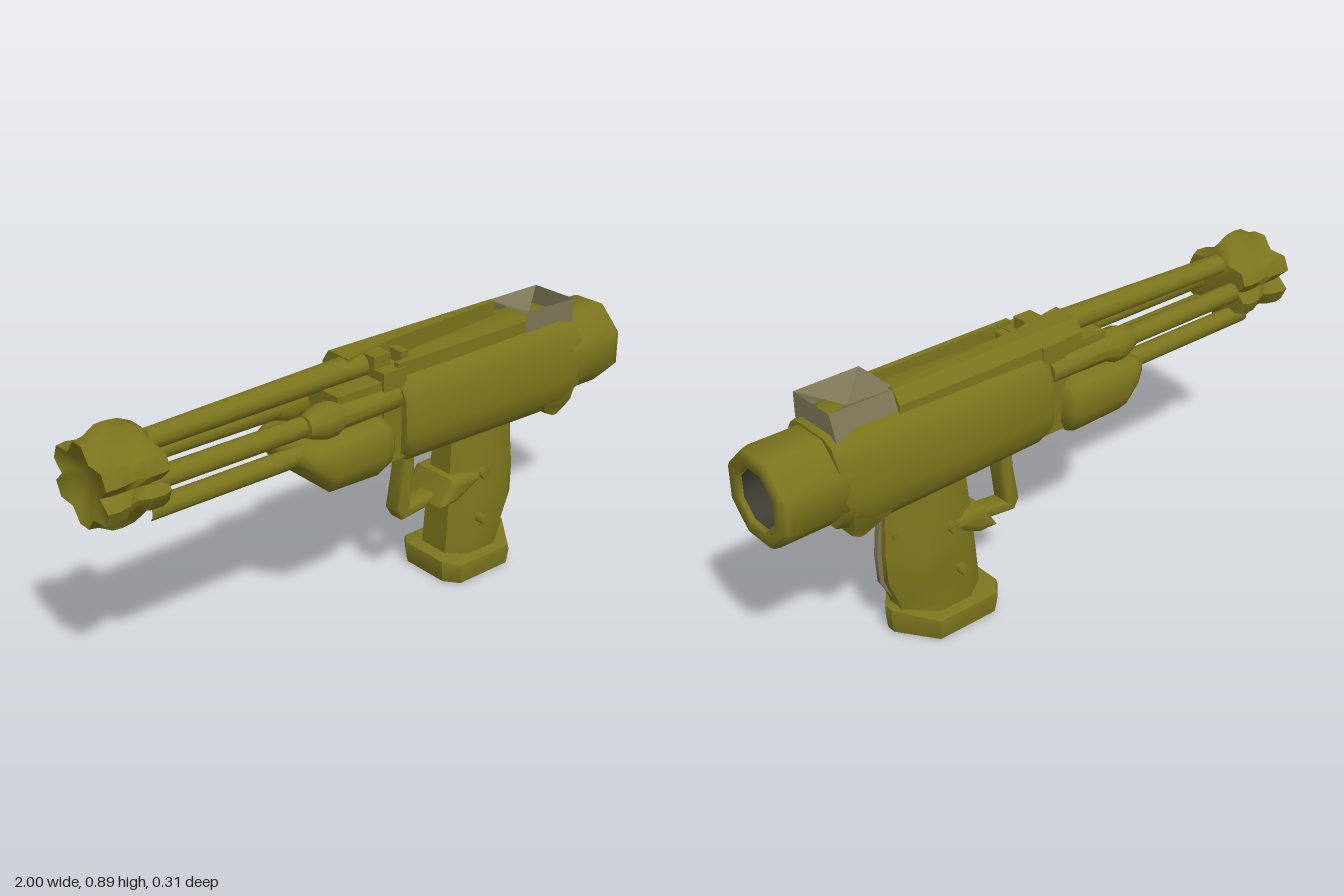
import * as THREE from 'three';
import { toCreasedNormals } from 'three/addons/utils/BufferGeometryUtils.js';

export function createModel() {
  const group = new THREE.Group();
  const paint = (name, color) => {
    const m = new THREE.MeshStandardMaterial({ color });
    m.name = name;
    return m;
  };
  const olive = paint('olive', 0x7b741d);
  const grey = paint('warm grey', 0x7d7656);
  grey.side = THREE.DoubleSide;
  const dark = paint('dark bore', 0x3f3d33);

  const add = (name, geo, mat = olive, crease = 0.7) => {
    const mesh = new THREE.Mesh(toCreasedNormals(geo, crease), mat);
    mesh.name = name;
    group.add(mesh);
    return mesh;
  };

  // Closed skin through equal-length loops of [x, y, z] points
  const loft = (loops) => {
    const pos = [];
    const tri = (a, b, c) => pos.push(...a, ...b, ...c);
    const n = loops[0].length;
    for (let s = 0; s < loops.length - 1; s++) {
      for (let i = 0; i < n; i++) {
        const j = (i + 1) % n, p = loops[s], q = loops[s + 1];
        tri(p[i], p[j], q[j]);
        tri(p[i], q[j], q[i]);
      }
    }
    const centre = (l) => [0, 1, 2].map((k) => l.reduce((t, p) => t + p[k], 0) / n);
    const first = loops[0], last = loops[loops.length - 1];
    for (let i = 0; i < n; i++) {
      const j = (i + 1) % n;
      tri(first[j], first[i], centre(first));
      tri(last[i], last[j], centre(last));
    }
    // Turn the skin outward if its signed volume is negative
    let volume = 0;
    const a = new THREE.Vector3(), b = new THREE.Vector3(), c = new THREE.Vector3();
    for (let i = 0; i < pos.length; i += 9) {
      volume += a.fromArray(pos, i).dot(b.fromArray(pos, i + 3).cross(c.fromArray(pos, i + 6)));
    }
    if (volume < 0) {
      for (let i = 0; i < pos.length; i += 9) {
        for (let k = 0; k < 3; k++) [pos[i + k], pos[i + 3 + k]] = [pos[i + 3 + k], pos[i + k]];
      }
    }
    const geo = new THREE.BufferGeometry();
    geo.setAttribute('position', new THREE.Float32BufferAttribute(pos, 3));
    return geo;
  };

  const box = (x0, x1, y0, y1, z0, z1) =>
    new THREE.BoxGeometry(x1 - x0, y1 - y0, z1 - z0)
      .translate((x0 + x1) / 2, (y0 + y1) / 2, (z0 + z1) / 2);

  // Turned part along x; profile is [radius, x]
  const turned = (profile, sides, y, z = 0) =>
    new THREE.LatheGeometry(profile.map((p) => new THREE.Vector2(...p)), sides, Math.PI / sides)
      .rotateZ(-Math.PI / 2).translate(0, y, z);

  // Side outline extruded across z with a bevel
  const slab = (points, halfWidth, bevel) =>
    new THREE.ExtrudeGeometry(new THREE.Shape(points.map((p) => new THREE.Vector2(...p))), {
      depth: 2 * (halfWidth - bevel), bevelSize: bevel,
      bevelThickness: bevel, bevelOffset: -bevel, bevelSegments: 3,
    }).translate(0, 0, bevel - halfWidth);

  // Main body, scaled about its axis at each station
  const half = [[0.82, 0.07], [0.80, 0.11], [0.74, 0.143], [0.62, 0.15], [0.56, 0.145], [0.505, 0.1]];
  const bodyLoop = ([x, sy, sz]) => {
    const right = half.map(([y, z]) => [x, 0.66 + (y - 0.66) * sy, z * sz]);
    return [...right, ...right.map(([px, y, z]) => [px, y, -z]).reverse()];
  };
  add('body', loft([
    [0.04, 0.85, 0.88], [0.07, 0.95, 0.96], [0.4, 0.98, 1.01], [0.72, 1.02, 1.01], [0.81, 0.88, 0.9],
  ].map(bodyLoop)), olive, 0.9);

  // Open octagonal rear tube
  add('rearTube', turned([
    [0.148, 0.7], [0.149, 0.97], [0.145, 0.99], [0.135, 1], [0.105, 1], [0.096, 0.997], [0.09, 0.985],
  ], 8, 0.656), olive, 0.85);
  add('rearBore', turned([[0.09, 0.985], [0.087, 0.83], [0, 0.83]], 8, 0.656), dark, 0.9);

  // Chin under the rear of the body, narrowing downwards
  add('chin', loft([
    [0.58, 0.64, 0.78, 0.14], [0.525, 0.65, 0.775, 0.128], [0.49, 0.685, 0.77, 0.105], [0.47, 0.725, 0.74, 0.1],
  ].map(([y, x0, x1, w]) => [[x0, y, -w], [x0, y, w], [x1, y, w], [x1, y, -w]])));

  // Front receiver
  add('receiver', box(-0.2, 0.08, 0.53, 0.8, -0.095, 0.095));
  add('collar', box(-0.03, 0.06, 0.53, 0.83, -0.105, 0.105));

  // Pod: stations of [x, bottom, top, half width], bulging above a narrower keel
  const podLoop = ([x, y0, y1, w]) => {
    const side = [[1, 0.72], [0.93, 0.88], [0.75, 1], [0.38, 1], [0.2, 0.93], [0, 0.72]]
      .map(([t, s]) => [x, y0 + (y1 - y0) * t, w * s]);
    return [...side, ...side.map(([px, y, z]) => [px, y, -z]).reverse()];
  };
  add('pod', loft([
    [-0.35, 0.625, 0.65, 0.09], [-0.335, 0.605, 0.668, 0.125], [-0.3, 0.565, 0.68, 0.148], [-0.25, 0.515, 0.688, 0.157],
    [-0.06, 0.51, 0.695, 0.157], [-0.03, 0.52, 0.685, 0.15], [-0.012, 0.55, 0.66, 0.135],
  ].map(podLoop)), olive, 0.9);

  // Barrel rods with their bulbs
  for (const side of [-1, 1]) {
    add('middleRod', turned([[0.032, -0.85], [0.032, -0.25]], 10, 0.735, side * 0.076));
    add('lowerRod', turned([[0.031, -0.85], [0.031, -0.2]], 10, 0.645, side * 0.07));
    add('rodBulb', turned([
      [0, -0.32], [0.035, -0.315], [0.046, -0.29], [0.055, -0.26], [0.055, -0.22],
      [0.042, -0.19], [0.038, 0.03], [0, 0.03],
    ], 10, 0.737, side * 0.085));
  }
  const rodLoop = ([x, y0, y1, w]) => Array.from({ length: 10 }, (_, i) => {
    const t = (i / 10 + 0.05) * Math.PI * 2;
    return [x, (y0 + y1) / 2 + Math.cos(t) * (y1 - y0) * 0.52, Math.sin(t) * w - 0.005];
  });
  add('topRod', loft([
    [-0.86, 0.78, 0.842, 0.036], [-0.1, 0.79, 0.866, 0.043], [0.04, 0.79, 0.868, 0.043],
  ].map(rodLoop)));

  // Muzzle with six lobes: stations of [x, upright lobes, side lobes, valleys]
  const lobes = [24, 90, 156, 204, 270, 336];
  const starLoop = ([x, upright, side, valley]) => lobes.flatMap((deg, k) => {
    const r = k % 3 === 1 ? upright : side;
    const gap = ((lobes[(k + 1) % 6] - deg + 360) % 360) / 2;
    return [[deg - 10, r], [deg + 10, r], [deg + gap, valley]].map(([d, f]) => {
      const t = (d * Math.PI) / 180;
      return [x, 0.742 + Math.sin(t) * f, Math.cos(t) * f - 0.005];
    });
  });
  add('muzzle', loft([
    [-0.97, 0.05, 0.05, 0.05], [-0.985, 0.09, 0.09, 0.08], [-1, 0.125, 0.138, 0.097], [-0.97, 0.13, 0.142, 0.105],
    [-0.93, 0.152, 0.135, 0.105], [-0.9, 0.154, 0.122, 0.105], [-0.86, 0.15, 0.136, 0.108],
    [-0.82, 0.132, 0.138, 0.108], [-0.795, 0.105, 0.128, 0.095],
  ].map(starLoop)), olive, 0.9);

  // Sighting rail, narrowing to the rear, with a sloped outer edge
  add('rail', loft([[-0.1, 0.02], [0.1, -0.015], [0.58, -0.05]].map(([x, z]) => [
    [x, 0.79, z], [x, 0.87, z], [x, 0.87, -0.07], [x, 0.83, -0.098], [x, 0.79, -0.1],
  ])), olive, 0.3);
  add('railPlate', box(-0.03, 0.035, 0.8, 0.868, -0.03, 0.06));
  add('railStud', box(0.09, 0.12, 0.8, 0.85, -0.01, 0.045));
  add('railLip', box(0.03, 0.58, 0.8, 0.845, 0.08, 0.1));

  // Open sight hood of folded plates
  const hood = new THREE.BufferGeometry();
  const corners = [
    [0.57, 0.79, 0.103], [0.79, 0.79, 0.103], [0.79, 0.87, 0.103], [0.57, 0.87, 0.103],
    [0.79, 0.79, -0.098], [0.79, 0.87, -0.068], [0.57, 0.79, -0.098], [0.57, 0.87, -0.068], [0.68, 0.825, 0.01],
  ];
  const faces = [0, 1, 2, 0, 2, 3, 1, 4, 5, 1, 5, 2, 4, 6, 7, 4, 7, 5, 7, 8, 5, 3, 8, 7, 2, 8, 3];
  hood.setAttribute('position', new THREE.Float32BufferAttribute(faces.flatMap((i) => corners[i]), 3));
  add('sightHood', hood, grey, 0.3);

  // Grip: stations of [y, front x, back x, half width]
  const gripLoop = ([y, f, b, w]) => [
    [f, y, -w * 0.55], [f, y, w * 0.55], [f + 0.07, y, w], [b - 0.1, y, w],
    [b, y, w * 0.3], [b, y, -w * 0.3], [b - 0.1, y, -w], [f + 0.07, y, -w],
  ];
  add('grip', loft([
    [0.06, 0.285, 0.57, 0.102], [0.1, 0.285, 0.565, 0.102], [0.2, 0.293, 0.606, 0.1],
    [0.3, 0.3, 0.61, 0.095], [0.4, 0.308, 0.603, 0.083], [0.54, 0.318, 0.596, 0.068],
  ].map(gripLoop)), olive, 0.9);

  // Thin spine down the back of the grip
  add('gripSpine', loft([
    [0.13, 0.58, 0.001], [0.2, 0.62, 0.007], [0.3, 0.626, 0.008], [0.4, 0.614, 0.008], [0.5, 0.602, 0.008],
  ].map(([y, x, w]) => [[0.55, y, -w], [0.55, y, w], [x, y, w], [x, y, -w]])), grey);

  // Grip foot, pointed at the rear, its top rising to the middle
  const footLoop = ([y, s, rise]) => [
    [0.24, 0.09], [0.28, 0.138], [0.5, 0.138], [0.592, 0.015],
    [0.592, -0.015], [0.5, -0.138], [0.28, -0.138], [0.24, -0.09],
  ].map(([x, z]) => [0.42 + (x - 0.42) * s, y + rise * (1 - Math.abs(z) / 0.138), z * s]);
  add('gripFoot', loft([
    [0, 0.96, 0.005], [0.02, 0.98, 0], [0.055, 1.01, 0.01], [0.07, 0.99, 0.02], [0.075, 0.86, 0.02],
  ].map(footLoop)), olive, 0.6);

  // Side pins and bolts
  const pin = (name, x, y, r, reach) =>
    add(name, new THREE.CylinderGeometry(r, r, reach * 2, 8).rotateX(Math.PI / 2).translate(x, y, 0), olive, 0.9);
  pin('gripPin', 0.39, 0.203, 0.017, 0.134);
  pin('gripBolt', 0.41, 0.355, 0.018, 0.112);
  pin('rearBolt', 0.575, 0.37, 0.015, 0.045);

  // Trigger guard and trigger lever
  add('triggerGuard', slab([
    [0.125, 0.54], [0.118, 0.42], [0.095, 0.29], [0.115, 0.255], [0.24, 0.27], [0.34, 0.3],
    [0.34, 0.335], [0.23, 0.305], [0.148, 0.295], [0.165, 0.42], [0.165, 0.54],
  ], 0.035, 0.012));
  add('triggerLever', slab([
    [0.23, 0.28], [0.3, 0.28], [0.38, 0.32], [0.44, 0.345], [0.43, 0.37], [0.28, 0.365], [0.26, 0.33],
  ], 0.098, 0.025), olive, 0.9);

  return group;
}
